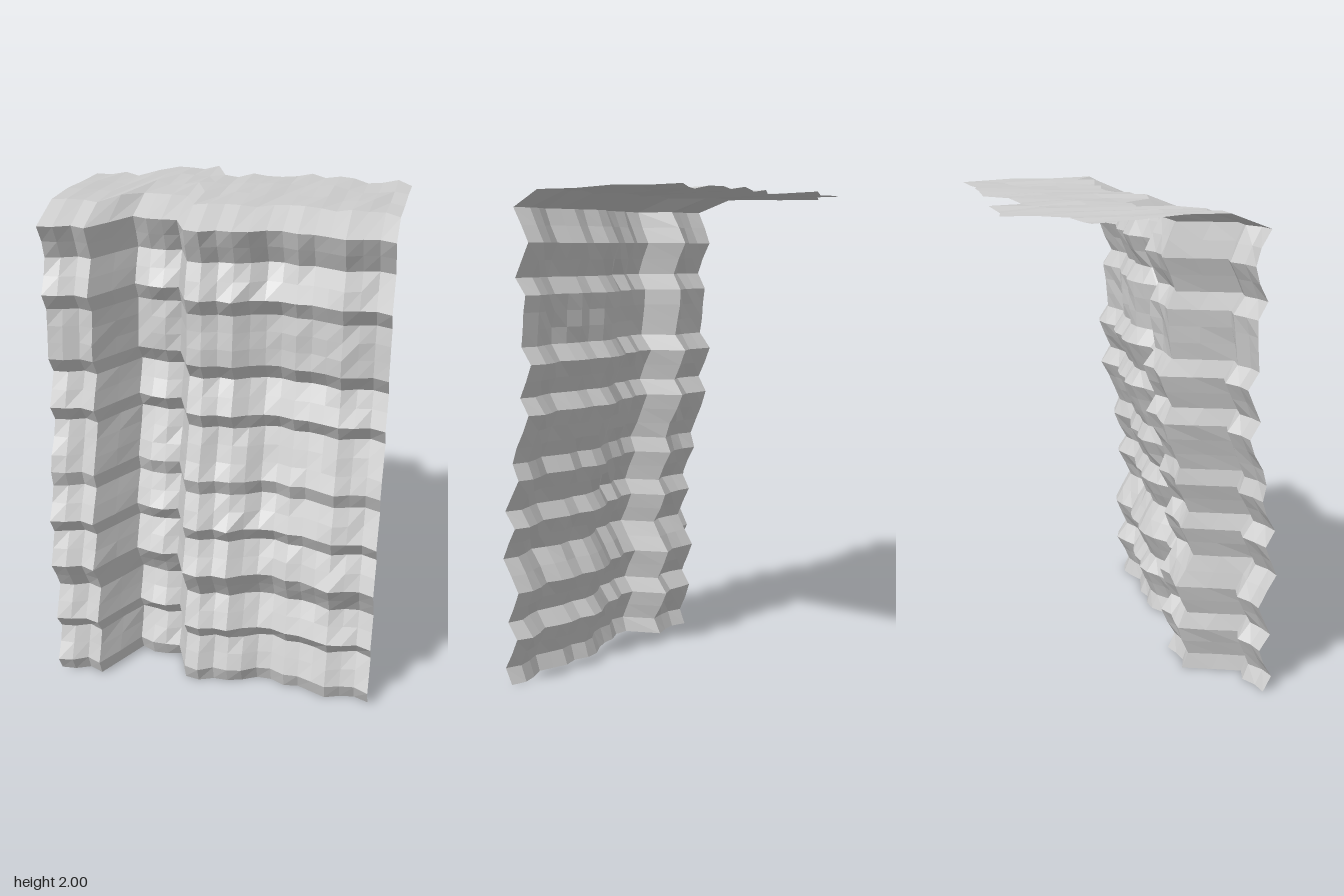
import * as THREE from 'three';

const STEP = 0.0664; // height of one rock layer

// Depth of each column, from x = -0.66 to 0.66, relative to the left edge
const PLAN = [0, -0.005, -0.03, -0.005, -0.115, -0.225, -0.205, -0.195, -0.21, -0.065, -0.05, -0.075,
  -0.07, -0.085, -0.12, -0.12, -0.095, -0.1, -0.075, -0.05, -0.065, -0.08, 0];
const COLS = PLAN.length;

// Zigzag of ledges and overhangs: [layer, depth]
const LEDGES = [[0, 0.48], [1, 0.505], [3, 0.445], [4, 0.495], [6, 0.43], [8, 0.51], [10, 0.445], [11, 0.485],
  [13, 0.42], [14, 0.445], [17, 0.355], [18, 0.4], [20, 0.335], [21, 0.385], [24, 0.36], [25, 0.4],
  [27, 0.34], [29, 0.4]];

// Repeatable noise in -1..1
function noise(i, j) {
  const s = Math.sin(i * 12.9898 + j * 78.233) * 43758.5453;
  return (s - Math.floor(s)) * 2 - 1;
}

function ledgeDepth(layer) {
  const k = Math.max(1, LEDGES.findIndex(([l]) => l >= layer));
  const [l0, d0] = LEDGES[k - 1], [l1, d1] = LEDGES[k];
  return d0 + (d1 - d0) * (layer - l0) / (l1 - l0);
}

const columnX = (j) => -0.66 + j * 0.06;

// Point on the wall; the roughness repeats every 14 layers
function wallPoint(i, j) {
  const r = i % 14;
  let z = ledgeDepth(i) + PLAN[j] + noise(r, j) * 0.006;
  if (j === COLS - 1) z -= 0.05;
  if (r >= 4 && r <= 11) z += j === 12 ? 0.01 : j === 13 ? -0.012 : 0; // shallow vertical crease
  return [columnX(j), i * STEP, Math.min(z, 0.512)];
}

// Point on the plateau; row 0 is the lip, row 3 the back edge
function plateauPoint(i, j) {
  return [columnX(j), 1.988 + noise(i + 40, j) * 0.009, 0.235 - i * 0.1767 + PLAN[j]];
}

// Grid surface with the given rows of points
function sheet(name, rows, material) {
  const index = [];
  for (let i = 0; i < rows.length - 1; i++) {
    for (let j = 0; j < COLS - 1; j++) {
      const a = i * COLS + j, b = a + 1, c = b + COLS, d = a + COLS;
      index.push(a, b, c, a, c, d);
    }
  }
  const geometry = new THREE.BufferGeometry();
  geometry.setAttribute('position', new THREE.Float32BufferAttribute(rows.flat(2), 3));
  geometry.setIndex(index);
  geometry.computeVertexNormals();
  const mesh = new THREE.Mesh(geometry, material);
  mesh.name = name;
  return mesh;
}

const row = (point, i) => Array.from({ length: COLS }, (_, j) => point(i, j));

export function createModel() {
  const rock = new THREE.MeshStandardMaterial({ color: 0xcccccc, flatShading: true, side: THREE.DoubleSide });
  rock.name = 'rock grey';

  const wall = Array.from({ length: 30 }, (_, i) => row(wallPoint, i));
  const plateau = Array.from({ length: 4 }, (_, i) => row(plateauPoint, i));

  const group = new THREE.Group();
  group.name = 'cliff';
  group.add(
    sheet('cliffWall', wall, rock),
    sheet('cliffLip', [wall[29], plateau[0]], rock),
    sheet('cliffPlateau', plateau, rock),
  );
  return group;
}
